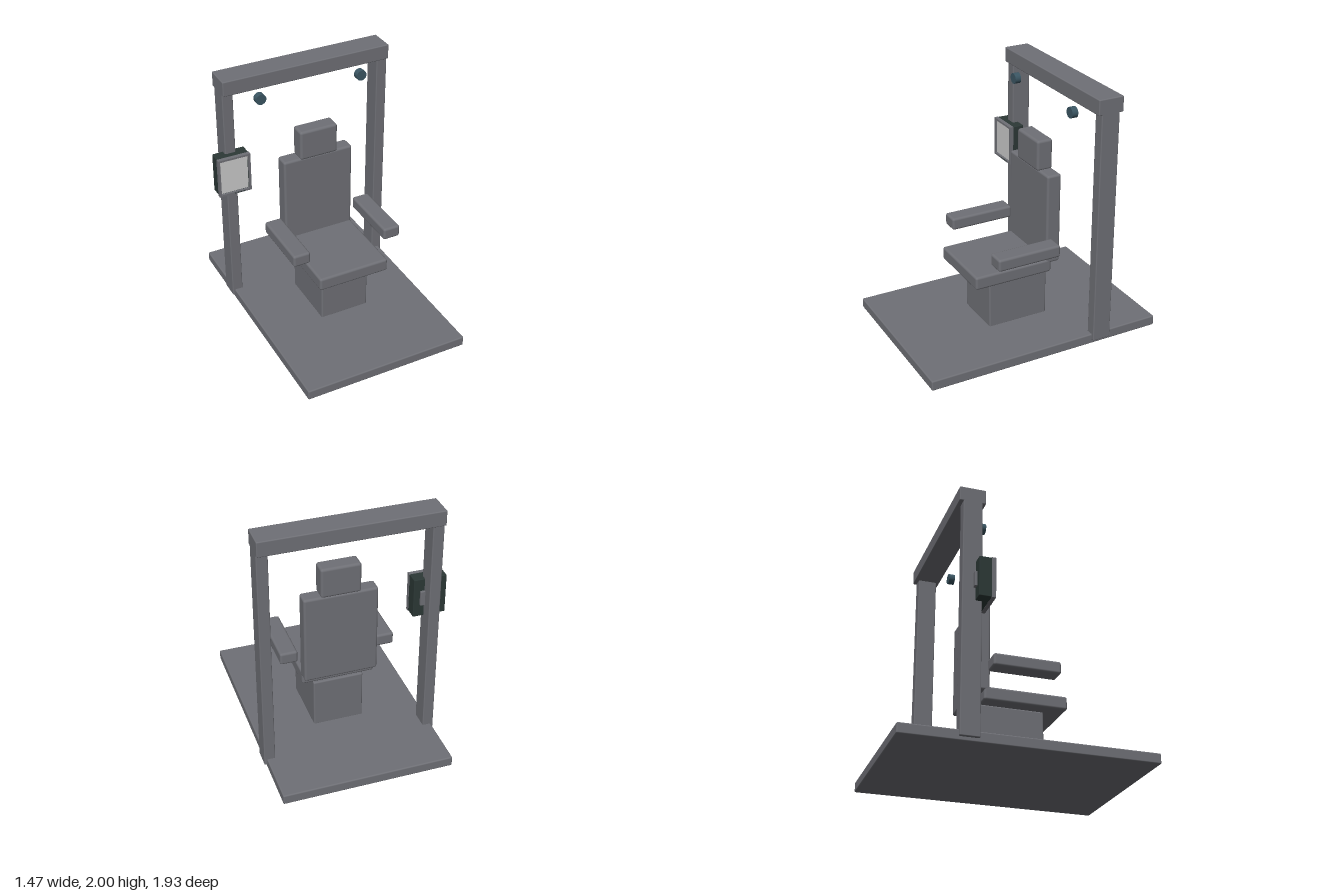
import * as THREE from 'three';
import { RoundedBoxGeometry } from 'three/addons/geometries/RoundedBoxGeometry.js';

const paint = (name, color) => {
  const m = new THREE.MeshStandardMaterial({ color });
  m.name = name;
  return m;
};

export function createModel() {
  const grey = paint('grey', 0x6f7076);
  const dark = paint('dark casing', 0x2c3836);
  const glass = paint('pale screen', 0xcacaca);
  const teal = paint('teal', 0x3b5663);

  const model = new THREE.Group();
  model.name = 'chairRig';

  const add = (parent, name, geometry, material) => {
    const mesh = new THREE.Mesh(geometry, material);
    mesh.name = name;
    parent.add(mesh);
    return mesh;
  };

  // Rounded block given by its extents on each axis
  const block = (parent, name, [x0, x1], [y0, y1], [z0, z1], r, material = grey) => {
    const g = new RoundedBoxGeometry(x1 - x0, y1 - y0, z1 - z0, 3, r);
    g.translate((x0 + x1) / 2, (y0 + y1) / 2, (z0 + z1) / 2);
    return add(parent, name, g, material);
  };

  // Floor plate and portal frame
  block(model, 'basePlate', [-0.631, 0.712], [0, 0.08], [-0.966, 0.964], 0.01);
  block(model, 'rightPost', [-0.65, -0.563], [0.03, 1.92], [-0.537, -0.388], 0.008);
  block(model, 'leftPost', [0.647, 0.734], [0.03, 1.92], [-0.537, -0.388], 0.008);
  block(model, 'topBeam', [-0.65, 0.734], [1.88, 2], [-0.567, -0.362], 0.008);

  // Chair
  const chair = new THREE.Group();
  chair.name = 'chair';
  model.add(chair);
  block(chair, 'pedestal', [-0.159, 0.243], [0.07, 0.483], [-0.247, 0.252], 0.012);
  block(chair, 'seat', [-0.251, 0.333], [0.487, 0.593], [-0.239, 0.41], 0.018);
  block(chair, 'backrest', [-0.251, 0.333], [0.563, 1.295], [-0.312, -0.194], 0.018);
  block(chair, 'headrest', [-0.116, 0.199], [1.287, 1.531], [-0.312, -0.181], 0.02);
  for (const [name, x] of [['rightArmrest', -0.348], ['leftArmrest', 0.427]]) {
    block(chair, name, [x - 0.07, x + 0.07], [0.694, 0.792], [-0.221, 0.302], 0.018);
  }

  // Lamps hanging in front of the beam
  for (const [name, x] of [['rightLamp', -0.381], ['leftLamp', 0.46]]) {
    const lamp = add(model, name, new THREE.CylinderGeometry(0.042, 0.042, 0.048, 32), teal);
    lamp.rotation.x = Math.PI / 2;
    lamp.position.set(x, 1.83, -0.313);
  }

  // Monitor on the right post
  const monitor = new THREE.Group();
  monitor.name = 'monitor';
  monitor.position.set(-0.608, 1.222, 0);
  model.add(monitor);

  const rect = (P, w, h) => {
    const p = new P();
    p.moveTo(-w, -h).lineTo(w, -h).lineTo(w, h).lineTo(-w, h).closePath();
    return p;
  };
  const bezel = rect(THREE.Shape, 0.132, 0.161);
  bezel.holes.push(rect(THREE.Path, 0.116, 0.145));
  const bezelGeo = new THREE.ExtrudeGeometry(bezel, { depth: 0.032, bevelEnabled: false });
  bezelGeo.translate(0, 0, -0.344);
  add(monitor, 'bezel', bezelGeo, grey);
  block(monitor, 'casing', [-0.129, 0.129], [-0.16, 0.16], [-0.437, -0.33], 0.006, dark);
  add(monitor, 'screen', new THREE.BoxGeometry(0.22, 0.276, 0.008), glass)
    .position.z = -0.326;

  // Rear mount and control buttons
  block(monitor, 'rearMount', [-0.08, 0.08], [-0.06, 0.06], [-0.455, -0.43], 0.004);
  for (let i = 0; i < 4; i++) {
    add(monitor, 'button', new THREE.BoxGeometry(0.012, 0.007, 0.006), dark)
      .position.set(-0.005 + i * 0.024, -0.153, -0.311);
  }

  return model;
}
